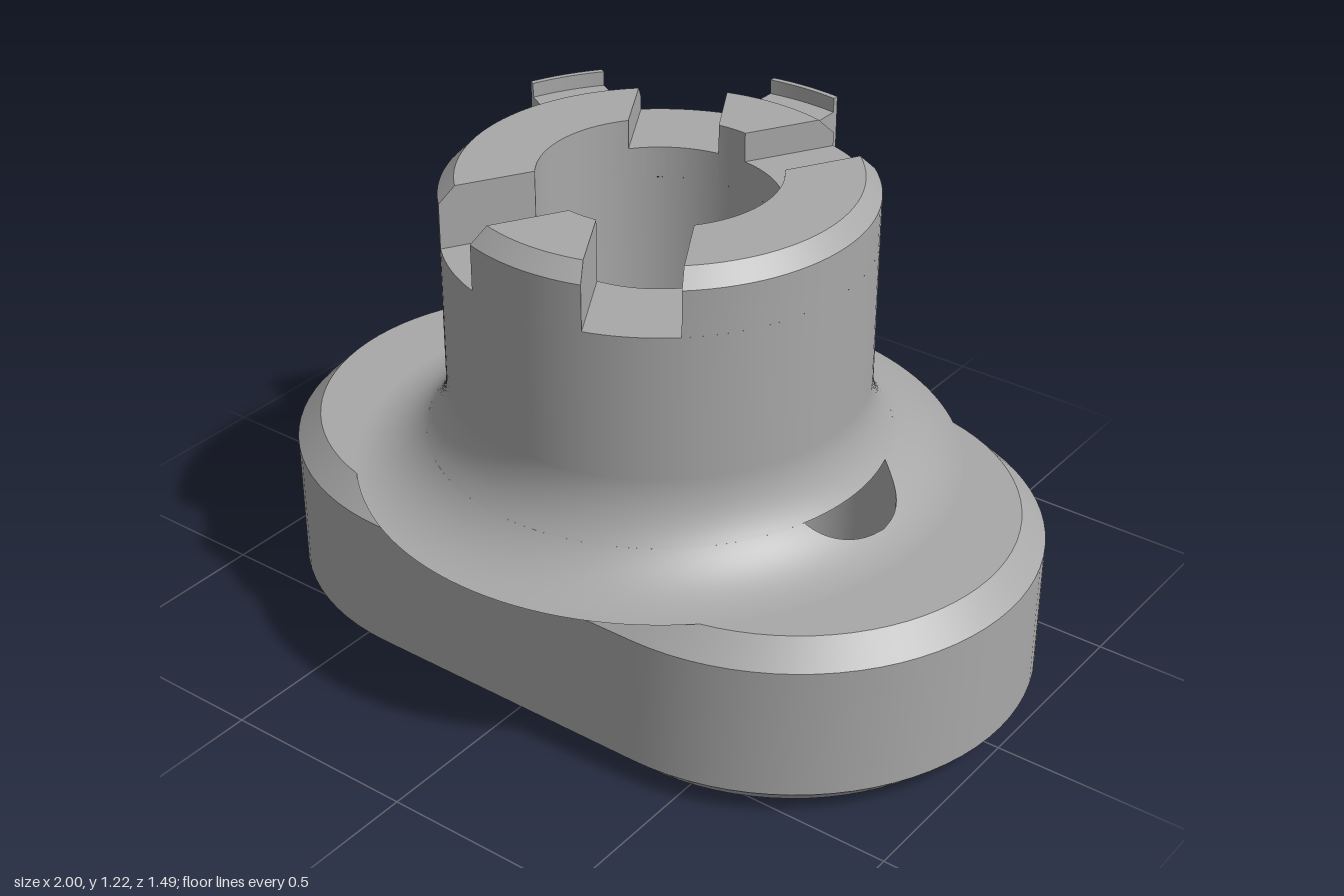
import * as THREE from 'three';
import { toCreasedNormals } from 'three/addons/utils/BufferGeometryUtils.js';
import { ParametricGeometry } from 'three/addons/geometries/ParametricGeometry.js';

const TAU = Math.PI * 2;
const deg = THREE.MathUtils.degToRad;
const BASE_TOP = 0.46, CHAMFER = 0.06;
const NECK = 0.517, FLARE = 0.235, FLANGE = 0.747, BORE = 0.29;
const SLOT_Y = 1.06, SHOULDER = 1.175, TOP = 1.215, SLOT = 0.11;
const HOLE_X = 0.463, HOLE_R = 0.19, HOLE_TOP = 0.545;

// Flare profile, and its radius at the ceiling of the drain hole
const flareCX = NECK + FLARE, flareCY = BASE_TOP + FLARE;
const flareY = (r) => flareCY - Math.sqrt(FLARE ** 2 - (flareCX - r) ** 2);
const CEIL_R = flareCX - Math.sqrt(FLARE ** 2 - (flareCY - HOLE_TOP) ** 2);

// Half angle, about the neck axis, that the drain hole takes up at radius r
const holeAngle = (r) =>
  Math.acos(Math.min(1, (r * r + HOLE_X ** 2 - HOLE_R ** 2) / (2 * r * HOLE_X)));

// Outlines are (x, -z) points, counter-clockwise from above
function stadium(inset) {
  const pts = [], n = 40, r = 0.615 - inset;
  for (const side of [1, -1]) {
    for (let i = 0; i <= n; i++) {
      const a = -Math.PI / 2 + (i / n) * Math.PI;
      pts.push(new THREE.Vector2(side * (0.385 + r * Math.cos(a)), side * r * Math.sin(a)));
    }
  }
  return pts;
}

// Ring sector whose straight sides stay parallel to the rays t0 and t1, offset by w
function sector(t0, t1, w, inner, outer, n = 28) {
  const pts = [];
  const arc = (r, flip) => {
    const a = t0 + Math.asin(w / r), b = t1 - Math.asin(w / r);
    for (let i = 0; i <= n; i++) {
      const t = a + (b - a) * (flip ? 1 - i / n : i / n);
      pts.push(new THREE.Vector2(r * Math.sin(t), -r * Math.cos(t)));
    }
  };
  arc(outer, false);
  arc(inner, true);
  return pts;
}

function cap(points, y, down = false, hole = false) {
  const shape = new THREE.Shape(points);
  if (hole) shape.holes.push(new THREE.Path().absarc(HOLE_X, 0, HOLE_R, 0, TAU, true));
  return new THREE.ShapeGeometry(shape, 64).rotateX(down ? Math.PI / 2 : -Math.PI / 2).translate(0, y, 0);
}

// Walls joining outlines stacked as [y, points]
function walls(rings) {
  const pos = [];
  for (let k = 0; k + 1 < rings.length; k++) {
    const [y0, lo] = rings[k], [y1, hi] = rings[k + 1];
    for (let i = 0; i < lo.length; i++) {
      const j = (i + 1) % lo.length;
      const a = [lo[i].x, y0, -lo[i].y], b = [lo[j].x, y0, -lo[j].y];
      const c = [hi[j].x, y1, -hi[j].y], d = [hi[i].x, y1, -hi[i].y];
      pos.push(...a, ...b, ...c, ...a, ...c, ...d);
    }
  }
  const geo = new THREE.BufferGeometry();
  geo.setAttribute('position', new THREE.Float32BufferAttribute(pos, 3));
  return toCreasedNormals(geo, 0.5);
}

// Surface given in polar form: fn(u, v) returns [angle, radius, y, centre x]
const polar = (fn, slices, stacks) => new ParametricGeometry((u, v, p) => {
  const [t, r, y, cx = 0] = fn(u, v);
  p.set(cx + r * Math.cos(t), y, r * Math.sin(t));
}, slices, stacks);

export function createModel() {
  const model = new THREE.Group();
  model.name = 'slottedHub';
  const metal = new THREE.MeshStandardMaterial({ color: 0xa8a8a8 });
  metal.name = 'grey metal';

  const add = (name, geometry, parent = model) => {
    const mesh = new THREE.Mesh(geometry, metal);
    mesh.name = name;
    parent.add(mesh);
  };
  const block = (name, rings, bottom = false) => {
    const group = new THREE.Group();
    group.name = name;
    model.add(group);
    const [y, pts] = rings[rings.length - 1];
    if (rings.length > 1) add(name + 'Walls', walls(rings), group);
    add(name + 'Top', cap(pts, y), group);
    if (bottom) {
      const under = rings[0][1].map((p) => new THREE.Vector2(p.x, -p.y));
      add(name + 'Bottom', cap(under, rings[0][0], true), group);
    }
  };

  // Chamfered oblong base with a drain hole
  const full = stadium(0), inset = stadium(CHAMFER);
  add('baseWalls', walls([[0, inset], [CHAMFER, full], [BASE_TOP - CHAMFER, full], [BASE_TOP, inset]]));
  add('baseTop', cap(inset, BASE_TOP, false, true));
  add('baseBottom', cap(inset, 0, true, true));

  // Drain hole wall, trimmed by the flare outside and by the bore inside
  add('drainHoleWall', polar((u, v) => {
    const t = u * TAU;
    const r = Math.hypot(HOLE_X + HOLE_R * Math.cos(t), HOLE_R * Math.sin(t));
    const top = r < BORE ? BASE_TOP : r < CEIL_R ? HOLE_TOP : flareY(r);
    return [t, HOLE_R, v * top, HOLE_X];
  }, 160, 2));
  add('drainHoleCeiling', polar((u, v) => {
    const r = CEIL_R + v * (BORE - CEIL_R);
    return [(2 * u - 1) * holeAngle(r), r, HOLE_TOP];
  }, 16, 24));

  // Flared foot of the neck, open where the drain hole cuts it
  add('flare', polar((u, v) => {
    const r = FLANGE + v * (CEIL_R - FLANGE), a = holeAngle(r);
    return [-(a + u * (TAU - 2 * a)), r, flareY(r)];
  }, 128, 40));
  add('flareUnderside', polar((u, v) => {
    const r = FLANGE + v * (0.55 - FLANGE), a = holeAngle(r);
    return [a + u * (TAU - 2 * a), r, BASE_TOP];
  }, 128, 24));

  // Neck and bore
  const profile = [];
  for (let i = 0; i <= 12; i++) {
    const a0 = Math.asin((flareCY - HOLE_TOP) / FLARE), a = a0 * (1 - i / 12);
    profile.push(new THREE.Vector2(flareCX - FLARE * Math.cos(a), flareCY - FLARE * Math.sin(a)));
  }
  profile.push(new THREE.Vector2(NECK, SLOT_Y));
  add('neck', new THREE.LatheGeometry(profile, 128));
  const boreCut = holeAngle(BORE);
  add('bore', polar((u, v) => {
    const t = (u - 0.5) * TAU;
    const low = Math.abs(t) < boreCut ? HOLE_TOP : BASE_TOP;
    return [t, BORE, low + v * (SLOT_Y - low)];
  }, 128, 2));

  // Four teeth with a chamfered outer rim
  const teeth = { frontTooth: [-30, 30], leftTooth: [30, 150], backTooth: [150, 210], rightTooth: [210, 330] };
  for (const [name, [a, b]] of Object.entries(teeth)) {
    const wide = sector(deg(a), deg(b), SLOT, BORE, NECK);
    const rim = sector(deg(a), deg(b), SLOT, BORE, NECK - (TOP - SHOULDER));
    block(name, [[SLOT_Y, wide], [SHOULDER, wide], [TOP, rim]]);
  }

  // Slot floors: deep at the front, shallow at the back
  for (const a of [30, 330, 150, 210]) {
    const floor = sector(deg(a), deg(a), -SLOT, BORE, NECK);
    const back = a === 150 || a === 210;
    block(back ? 'backSlotFloor' : 'frontSlotFloor', back ? [[SLOT_Y, floor], [1.14, floor]] : [[SLOT_Y, floor]]);
  }

  // Two hooked tabs on the outside
  for (const a of [180, 240]) {
    const arm = sector(deg(a), deg(a), -0.095, 0.505, 0.608, 12);
    const lip = sector(deg(a), deg(a), -0.095, 0.593, 0.608, 12);
    block('tabArm', [[1.08, arm], [1.178, arm]], true);
    block('tabLip', [[1.178, lip], [TOP, lip]]);
  }
  return model;
}
